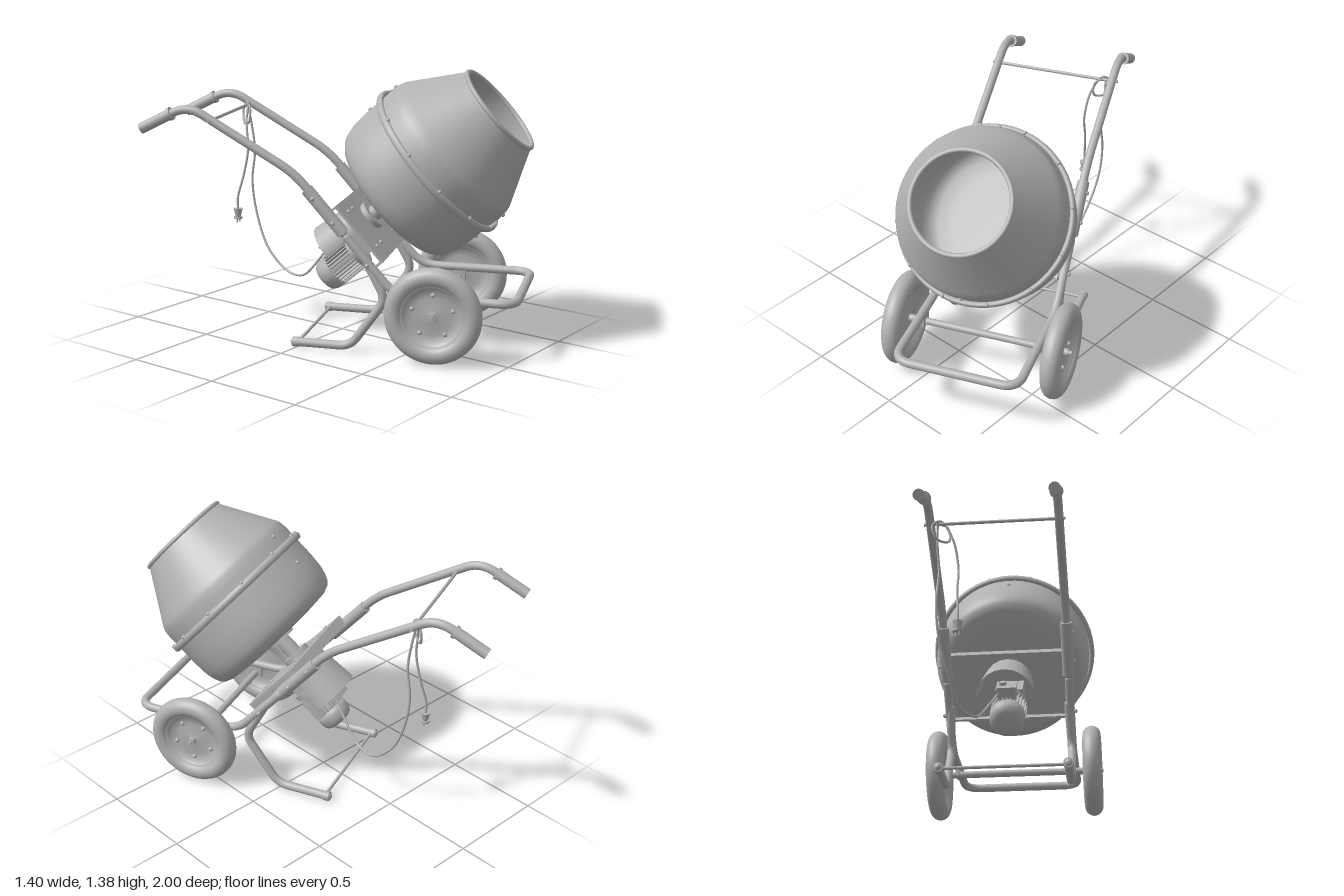
import * as THREE from 'three';

const V = (x, y, z) => new THREE.Vector3(x, y, z);
const steel = new THREE.MeshStandardMaterial({ color: 0xb2b2b2, side: THREE.DoubleSide });
steel.name = 'grey steel';

function add(parent, name, geometry, x = 0, y = 0, z = 0) {
  const mesh = new THREE.Mesh(geometry, steel);
  mesh.name = name;
  mesh.position.set(x, y, z);
  parent.add(mesh);
  return mesh;
}

function group(parent, name) {
  const g = new THREE.Group();
  g.name = name;
  parent.add(g);
  return g;
}

// Straight closed rod between two points
function rod(parent, name, a, b, r, r2 = r, sides = 20) {
  const d = b.clone().sub(a);
  const mesh = add(parent, name, new THREE.CylinderGeometry(r2, r, d.length(), sides));
  mesh.position.copy(a).addScaledVector(d, 0.5);
  mesh.quaternion.setFromUnitVectors(V(0, 1, 0), d.normalize());
  return mesh;
}

// Bent pipe: straight runs joined by rounded corners, with closed ends
function pipe(parent, name, pts, r, bend = 0.08) {
  const path = new THREE.CurvePath();
  let last = pts[0];
  for (let i = 1; i < pts.length - 1; i++) {
    const before = pts[i].clone().add(pts[i - 1].clone().sub(pts[i]).setLength(bend));
    const after = pts[i].clone().add(pts[i + 1].clone().sub(pts[i]).setLength(bend));
    path.add(new THREE.LineCurve3(last, before));
    path.add(new THREE.QuadraticBezierCurve3(before, pts[i], after));
    last = after;
  }
  path.add(new THREE.LineCurve3(last, pts[pts.length - 1]));
  add(parent, name, new THREE.TubeGeometry(path, 140, r, 14));
  for (const p of [pts[0], pts[pts.length - 1]]) add(parent, name + 'End', new THREE.SphereGeometry(r, 14, 10), p.x, p.y, p.z);
}

const bolt = (parent, x, y, z, r = 0.011) => add(parent, 'bolt', new THREE.SphereGeometry(r, 10, 8), x, y, z);
const lathe = (pts, n = 64) => new THREE.LatheGeometry(pts.map(p => new THREE.Vector2(p[0], p[1])), n);

function buildFrame(parent) {
  const frame = group(parent, 'frame');
  const W = 0.315;
  for (const s of [-1, 1]) {
    const x = s * W;
    // Handle with grip
    pipe(frame, 'handle', [V(x, 1.09, -0.92), V(x, 1.2, -0.7), V(x, 0.885, -0.15), V(x, 0.6, 0.095)], 0.022, 0.09);
    rod(frame, 'grip', V(x, 1.075, -0.95), V(x, 1.155, -0.79), 0.028);
    rod(frame, 'gripCollar', V(x, 1.15, -0.8), V(x, 1.158, -0.784), 0.033);
    // Socket that joins the handle to the frame
    rod(frame, 'handleSocket', V(x, 0.81, -0.09), V(x, 0.6, 0.095), 0.031);
    for (const t of [0.2, 0.75]) bolt(frame, x + s * 0.03, 0.81 - 0.21 * t, -0.09 + 0.185 * t);
    // Rear leg and foot
    pipe(frame, 'rearLeg', [V(x * 0.97, 0.48, 0.2), V(x, 0.28, 0.31), V(x, 0.027, 0.13), V(x, 0.027, -0.155)], 0.022, 0.06);
    rod(frame, 'footTip', V(x, 0.027, -0.135), V(x, 0.027, -0.165), 0.025);
    bolt(frame, x + s * 0.025, 0.45, 0.22);
    // Bracket holding the axle
    add(frame, 'axleBracket', new THREE.BoxGeometry(0.02, 0.075, 0.07), s * 0.31, 0.268, 0.563);
  }
  // Lower frame with front bar
  pipe(frame, 'lowerFrame', [
    V(-W, 0.58, 0.112), V(-W, 0.3, 0.36), V(-W, 0.3, 0.945), V(W, 0.3, 0.945), V(W, 0.3, 0.36), V(W, 0.58, 0.112),
  ], 0.022, 0.09);
  // Cross rods
  rod(frame, 'handleRod', V(-0.345, 1.128, -0.585), V(0.345, 1.128, -0.585), 0.008);
  rod(frame, 'footRod', V(-0.335, 0.027, -0.14), V(0.335, 0.027, -0.14), 0.008);
  rod(frame, 'axle', V(-0.45, 0.245, 0.563), V(0.45, 0.245, 0.563), 0.018);
}

function buildWheel(parent, s) {
  // Built around the y axis, then turned so +y points outward
  const wheel = group(parent, s > 0 ? 'leftWheel' : 'rightWheel');
  wheel.position.set(s * 0.412, 0.245, 0.563);
  wheel.rotation.z = -s * Math.PI / 2;
  add(wheel, 'tyre', new THREE.TorusGeometry(0.192, 0.048, 20, 56)).rotation.x = Math.PI / 2;
  const dish = [[0, 0.016], [0.022, 0.016], [0.03, 0.008], [0.095, 0.004], [0.13, 0.008], [0.142, 0.026], [0.155, 0.03]];
  add(wheel, 'rimOuter', lathe(dish, 48));
  add(wheel, 'rimInner', lathe(dish.map(p => [p[0], -p[1] - 0.006]), 48));
  rod(wheel, 'hub', V(0, -0.045, 0), V(0, 0.03, 0), 0.019);
  rod(wheel, 'axleTip', V(0, 0.03, 0), V(0, 0.055, 0), 0.011);
  for (let i = 0; i < 5; i++) {
    const a = i * Math.PI * 0.4;
    bolt(wheel, Math.cos(a) * 0.105, 0.008, Math.sin(a) * 0.105, 0.012);
  }
}

function buildDrum(tilt) {
  const drum = group(tilt, 'drum');
  // Shell: rounded base, straight wall, tapered mouth
  add(drum, 'drumBase', lathe([
    [0, -0.32], [0.25, -0.318], [0.33, -0.31], [0.362, -0.297], [0.384, -0.274], [0.396, -0.245], [0.407, -0.2], [0.412, -0.12], [0.412, 0],
  ]));
  add(drum, 'drumWall', lathe([[0.412, 0], [0.413, 0.06], [0.41, 0.1], [0.403, 0.122], [0.39, 0.145], [0.31, 0.28], [0.24, 0.4]]));
  add(drum, 'mouthRim', new THREE.TorusGeometry(0.239, 0.012, 12, 64), 0, 0.4).rotation.x = Math.PI / 2;
  // Seam ring with bolts
  const ring = add(drum, 'seamRing', new THREE.TorusGeometry(0.427, 0.014, 12, 72));
  ring.rotation.x = Math.PI / 2;
  ring.scale.z = 1.4;
  for (let i = 0; i < 12; i++) {
    const a = (i + 0.5) * Math.PI / 6;
    bolt(drum, Math.cos(a) * 0.43, 0.017, Math.sin(a) * 0.43);
  }
  for (const s of [-1, 1]) {
    bolt(drum, 0, 0.075, s * 0.412);
    bolt(drum, 0, -0.1, s * 0.412);
  }
  // Mixing paddles
  for (const s of [-1, 1]) {
    const paddle = group(drum, 'paddle');
    paddle.rotation.y = s * Math.PI / 2;
    rod(paddle, 'paddleBar', V(0.36, -0.1, 0), V(0.26, 0.15, 0), 0.009);
    for (const t of [0.3, 0.6, 0.9]) {
      const p = V(0.36 - 0.1 * t, -0.1 + 0.25 * t, 0);
      rod(paddle, 'paddleProng', p, p.clone().add(V(-0.02, 0.02, s * 0.03)), 0.007);
    }
    rod(paddle, 'upperStay', V(0.28, 0.09, 0), V(0.41, 0.075, 0), 0.008);
    rod(paddle, 'lowerStay', V(0.36, -0.1, 0), V(0.41, -0.1, 0), 0.008);
  }
}

function buildDrive(tilt) {
  const drive = group(tilt, 'drive');
  // Cross plate with folded edges, and the drum shaft
  add(drive, 'crossPlate', new THREE.BoxGeometry(0.6, 0.012, 0.36), 0, -0.468, 0.028);
  for (const z of [-0.147, 0.203]) add(drive, 'plateFold', new THREE.BoxGeometry(0.6, 0.05, 0.01), 0, -0.49, z);
  rod(drive, 'shaft', V(0, -0.47, 0), V(0, -0.3, 0), 0.04);
  rod(drive, 'shaftFlange', V(0, -0.465, 0), V(0, -0.435, 0), 0.075);
  rod(drive, 'drumHub', V(0, -0.34, 0), V(0, -0.315, 0), 0.08);
  for (const x of [-0.22, -0.14, 0.14, 0.22]) for (const z of [-0.09, 0.13]) bolt(drive, x, -0.46, z);
  // Curved, slightly flared motor hood
  add(drive, 'hood', new THREE.CylinderGeometry(0.125, 0.15, 0.26, 10, 1, true, Math.PI / 2, Math.PI), 0, -0.6, 0.015);
  // Motor with gearbox and cooling fins
  const motor = group(drive, 'motor');
  motor.position.set(-0.01, 0, 0.095);
  add(motor, 'gearbox', new THREE.BoxGeometry(0.14, 0.15, 0.13), 0, -0.545, -0.02);
  rod(motor, 'motorFlange', V(0, -0.64, 0), V(0, -0.615, 0), 0.092);
  rod(motor, 'motorBody', V(0, -0.79, 0), V(0, -0.63, 0), 0.074);
  for (let i = 0; i < 28; i++) {
    const a = i * Math.PI / 14;
    add(motor, 'coolingFin', new THREE.BoxGeometry(0.022, 0.145, 0.005),
      Math.cos(a) * 0.08, -0.712, Math.sin(a) * 0.08).rotation.y = -a;
  }
  add(motor, 'fanCover', lathe([[0, -0.87], [0.05, -0.868], [0.073, -0.858], [0.086, -0.838], [0.09, -0.81], [0.09, -0.782], [0.07, -0.782]], 32));
  add(motor, 'terminalBox', new THREE.BoxGeometry(0.09, 0.1, 0.06), 0, -0.71, -0.105);
  add(motor, 'terminalLid', new THREE.BoxGeometry(0.1, 0.11, 0.012), 0, -0.71, -0.137);
  rod(motor, 'switchKnob', V(0.02, -0.71, -0.14), V(0.02, -0.71, -0.158), 0.018);
}

function buildCable(root) {
  const cable = group(root, 'powerCable');
  const strand = (name, pts) =>
    add(cable, name, new THREE.TubeGeometry(new THREE.CatmullRomCurve3(pts.map(p => V(...p))), 90, 0.006, 8));
  strand('hangingCable', [
    [-0.02, 0.43, -0.08], [-0.01, 0.35, -0.15], [0, 0.25, -0.26], [0.015, 0.25, -0.38], [0.01, 0.36, -0.51],
    [0.02, 0.55, -0.6], [0.02, 0.72, -0.625], [0.02, 0.88, -0.605], [0.02, 1.02, -0.625], [0.01, 1.13, -0.645],
  ]);
  strand('cableLoop', [
    [0.01, 1.13, -0.645], [-0.02, 1.12, -0.6], [-0.03, 1.04, -0.6], [0, 1.03, -0.66], [0.02, 1.1, -0.68],
    [0, 1.145, -0.63], [-0.05, 1.05, -0.6], [-0.07, 0.9, -0.575], [-0.08, 0.76, -0.6], [-0.1, 0.64, -0.625], [-0.1, 0.57, -0.625],
  ]);
  rod(cable, 'plug', V(-0.1, 0.58, -0.625), V(-0.1, 0.535, -0.625), 0.024, 0.014);
  rod(cable, 'plugFace', V(-0.1, 0.535, -0.625), V(-0.1, 0.525, -0.625), 0.024);
  for (const d of [-0.01, 0.01]) rod(cable, 'plugPin', V(-0.1 + d, 0.53, -0.625), V(-0.1 + d, 0.505, -0.625), 0.004);
}

export function createModel() {
  const root = new THREE.Group();
  root.name = 'concreteMixer';
  const mixer = group(root, 'mixer');
  mixer.position.set(-0.02, 0, 0.008);
  mixer.rotation.y = 0.393;
  buildFrame(mixer);
  for (const s of [-1, 1]) buildWheel(mixer, s);
  // Drum and drive share one tilted axis
  const tilt = group(mixer, 'tiltedAssembly');
  tilt.position.set(0, 0.925, 0.5);
  tilt.rotation.x = 0.846;
  buildDrum(tilt);
  buildDrive(tilt);
  buildCable(root);
  return root;
}
